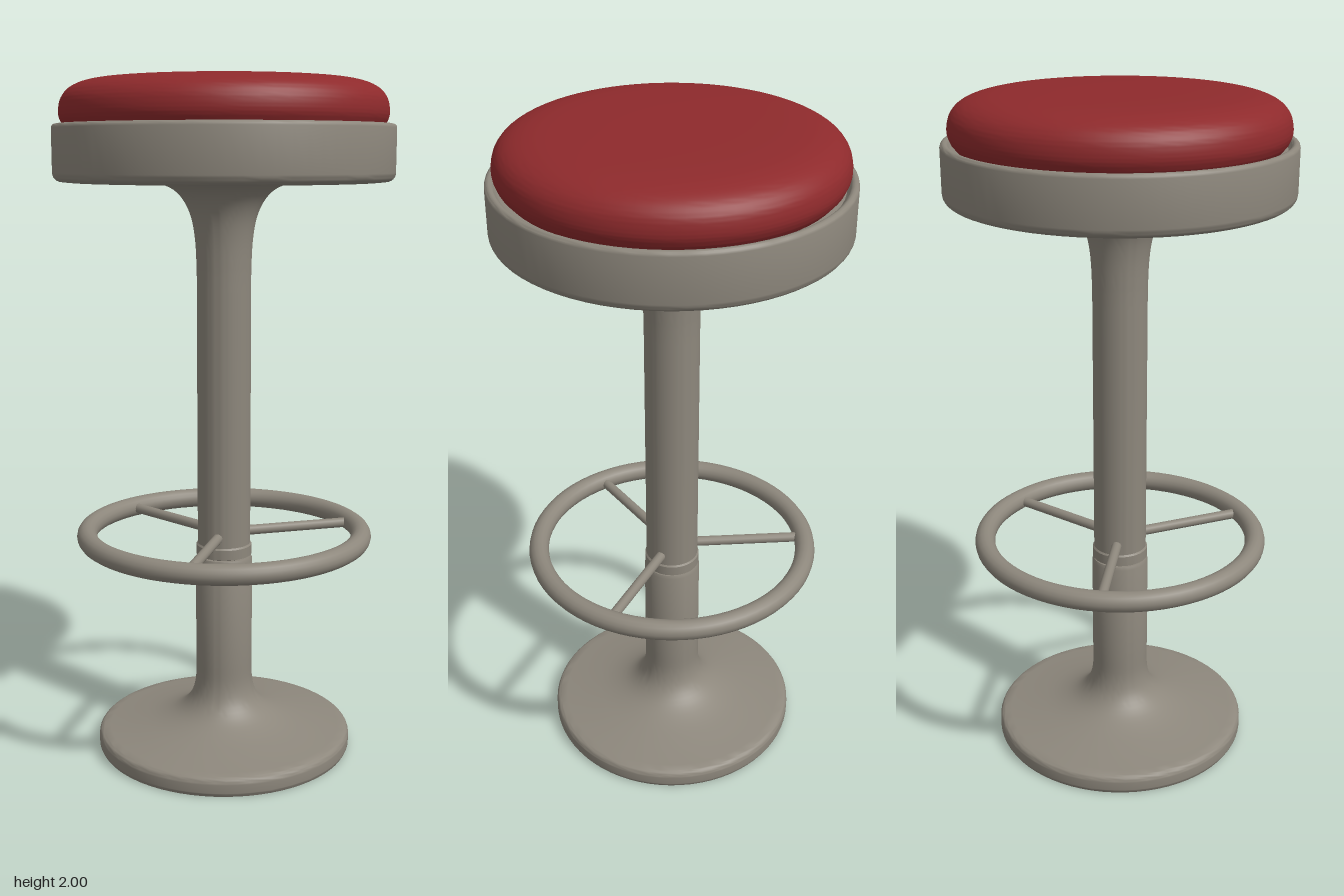
import * as THREE from 'three';
import { toCreasedNormals } from 'three/addons/utils/BufferGeometryUtils.js';

const SEGMENTS = 72;

export function createModel() {
  const stool = new THREE.Group();
  stool.name = 'barStool';

  const metal = new THREE.MeshStandardMaterial({ color: 0x8d877c });
  metal.name = 'warm grey metal';
  const leather = new THREE.MeshStandardMaterial({ color: 0x8e2a2c });
  leather.name = 'red leather';

  const add = (name, geometry, material, parent = stool) => {
    const mesh = new THREE.Mesh(geometry, material);
    mesh.name = name;
    parent.add(mesh);
    return mesh;
  };
  const vec = (pairs) => pairs.map(([r, y]) => new THREE.Vector2(r, y));
  // Smooth run through a few profile points
  const curve = (pairs, n = 20) => new THREE.SplineCurve(vec(pairs)).getPoints(n);
  // Rounded profile corner, angles in degrees
  const corner = (r, y, radius, from, to, n = 6) =>
    Array.from({ length: n + 1 }, (_, i) => {
      const a = THREE.MathUtils.degToRad(from + ((to - from) * i) / n);
      return new THREE.Vector2(r + radius * Math.cos(a), y + radius * Math.sin(a));
    });
  const turned = (profile) => toCreasedNormals(new THREE.LatheGeometry(profile, SEGMENTS), 0.6);

  // Trumpet foot rising into the lower sleeve
  add('base', turned([
    ...vec([[0, 0], [0.38, 0]]),
    ...corner(0.373, 0.012, 0.012, -45, 0, 3),
    ...corner(0.365, 0.037, 0.02, 0, 75),
    ...curve([[0.35, 0.059], [0.28, 0.07], [0.2, 0.087], [0.14, 0.112], [0.103, 0.15], [0.087, 0.2], [0.085, 0.26]]),
    ...vec([[0.085, 0.59], [0.081, 0.6], [0.07, 0.6]]),
  ]), metal);

  // Upper column flaring out beneath the seat
  add('column', turned([
    ...vec([[0.07, 0.6], [0.083, 0.605], [0.083, 0.635], [0.079, 0.64], [0.079, 1.4]]),
    ...curve([[0.079, 1.45], [0.083, 1.54], [0.095, 1.61], [0.12, 1.662], [0.155, 1.693], [0.21, 1.712]]),
  ]), metal);

  // Metal seat pan with a rounded lower edge and a soft lip
  add('seatBand', turned([
    ...vec([[0, 1.708], [0.44, 1.708]]),
    ...corner(0.462, 1.735, 0.025, -90, 0),
    ...corner(0.475, 1.858, 0.012, 0, 180),
    ...vec([[0.455, 1.85], [0, 1.85]]),
  ]), metal);

  // Padded cushion
  add('cushion', turned([
    ...vec([[0.44, 1.85]]),
    ...curve([[0.456, 1.868], [0.465, 1.89], [0.465, 1.915], [0.457, 1.942], [0.435, 1.967],
      [0.395, 1.985], [0.33, 1.995], [0.2, 1.999], [0, 2]], 40),
  ]), leather);

  // Foot ring carried by three spokes
  const footrest = new THREE.Group();
  footrest.name = 'footrest';
  footrest.position.y = 0.67;
  stool.add(footrest);
  const ring = add('footRing', new THREE.TorusGeometry(0.411, 0.03, 16, SEGMENTS), metal, footrest);
  ring.rotation.x = Math.PI / 2;
  const spoke = new THREE.CylinderGeometry(0.015, 0.015, 0.35, 14, 1, true)
    .rotateX(Math.PI / 2)
    .translate(0, 0, 0.235);
  for (let i = 0; i < 3; i++) {
    add('spoke', spoke, metal, footrest).rotation.y = (i * Math.PI * 2) / 3;
  }

  return stool;
}
